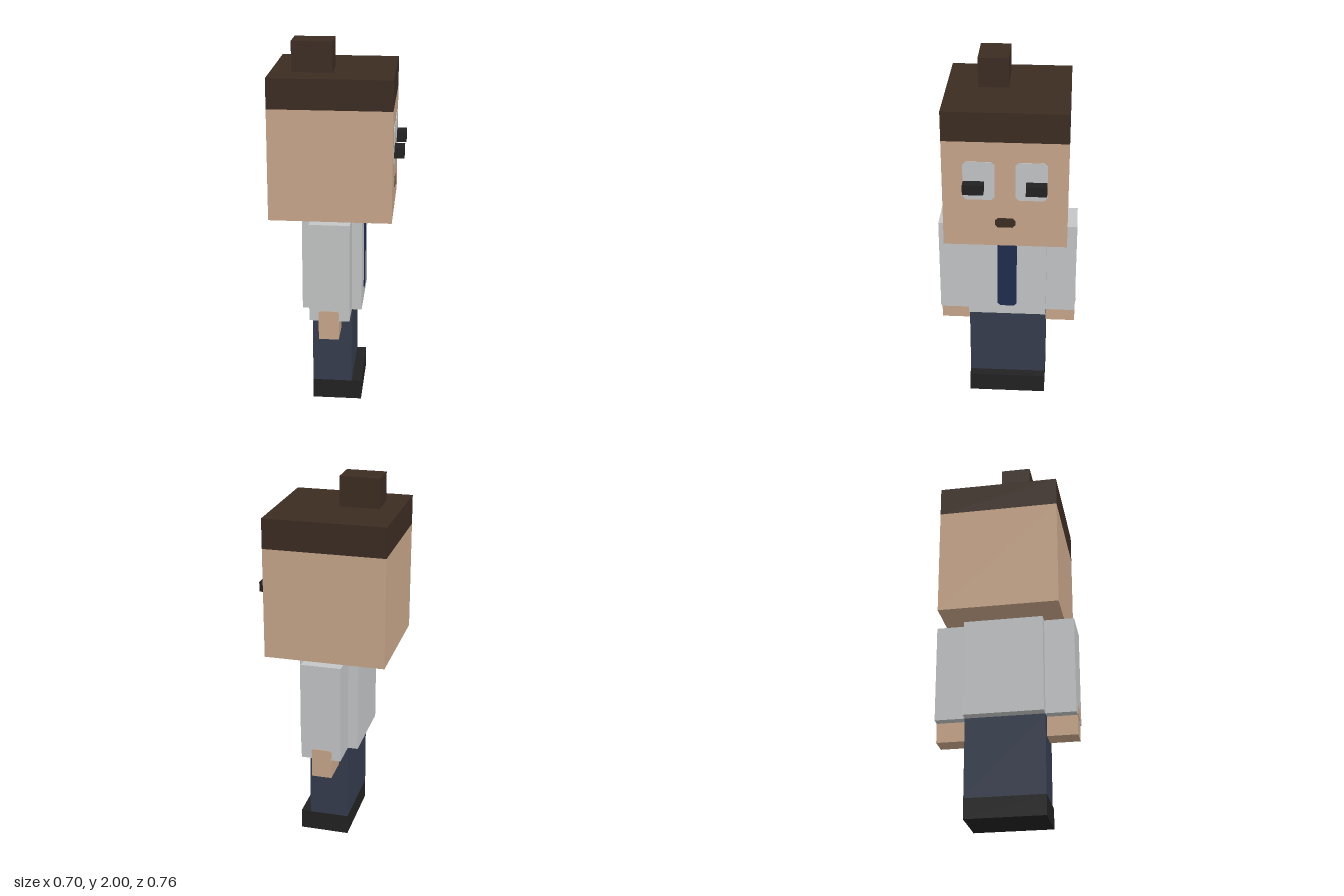
import * as THREE from 'three';

const paint = (name, color) => {
  const m = new THREE.MeshStandardMaterial({ color });
  m.name = name;
  return m;
};

export function createModel() {
  const model = new THREE.Group();
  model.name = 'blockFigure';

  const skin = paint('skin', 0xc8a68a);
  const hair = paint('darkBrown', 0x3c2c22);
  const shirt = paint('shirtGrey', 0xc3c5c6);
  const navy = paint('trouserNavy', 0x353c4d);
  const tieBlue = paint('tieBlue', 0x1f2c4f);
  const black = paint('black', 0x222222);

  // Box given by its limits on each axis
  const box = (name, mat, [x0, x1], [y0, y1], [z0, z1]) => {
    const mesh = new THREE.Mesh(new THREE.BoxGeometry(x1 - x0, y1 - y0, z1 - z0), mat);
    mesh.position.set((x0 + x1) / 2, (y0 + y1) / 2, (z0 + z1) / 2);
    mesh.name = name;
    model.add(mesh);
    return mesh;
  };

  // Thin plate with clipped corners; lies in the XY plane until turned
  const plate = (name, mat, w, h, c, x, y, z, turn) => {
    const a = w / 2, b = h / 2;
    const shape = new THREE.Shape([
      [-a + c, -b], [a - c, -b], [a, -b + c], [a, b - c],
      [a - c, b], [-a + c, b], [-a, b - c], [-a, -b + c],
    ].map(([u, v]) => new THREE.Vector2(u, v)));
    const mesh = new THREE.Mesh(
      new THREE.ExtrudeGeometry(shape, { depth: 0.003, bevelEnabled: false }), mat);
    mesh.position.set(x, y, z);
    mesh.rotation.y = turn;
    mesh.name = name;
    model.add(mesh);
  };
  const faceX = Math.PI / 2;

  // Legs and shoes
  box('shoes', black, [-0.135, 0.133], [0, 0.11], [-0.215, 0.215]);
  box('trousers', navy, [-0.135, 0.08], [0.11, 0.545], [-0.215, 0.215]);

  // Torso with tie
  box('torso', shirt, [-0.19, 0.133], [0.545, 1.085], [-0.215, 0.215]);
  plate('tie', tieBlue, 0.106, 0.43, 0.015, 0.133, 0.815, 0, faceX);

  // Head, hair and bun
  box('head', skin, [-0.354, 0.294], [1.085, 1.68], [-0.324, 0.324]);
  box('hair', hair, [-0.354, 0.294], [1.68, 1.84], [-0.324, 0.324]);
  box('hairBun', hair, [-0.243, -0.028], [1.84, 2], [0, 0.16]);
  plate('mouth', hair, 0.106, 0.054, 0.015, 0.294, 1.222, 0, faceX);

  // Mirrored parts
  for (const [side, s] of [['left', 1], ['right', -1]]) {
    const span = (a, b) => (s > 0 ? [a, b] : [-b, -a]);
    box(side + 'Sleeve', shirt, [-0.135, 0.08], [0.545, 1.085], span(0.215, 0.378));
    box(side + 'Hand', skin, [-0.085, 0.023], [0.437, 0.545], span(0.215, 0.378));
    plate(side + 'Wrist', skin, 0.108, 0.055, 0.008, -0.031, 0.5725, s * 0.378, s > 0 ? 0 : Math.PI);
    plate(side + 'EyeWhite', shirt, 0.164, 0.215, 0.018, 0.294, 1.463, s * 0.135, faceX);
    box(side + 'Pupil', black, [0.294, 0.35], [1.408, 1.462], span(0.108, 0.216));
  }
  return model;
}
